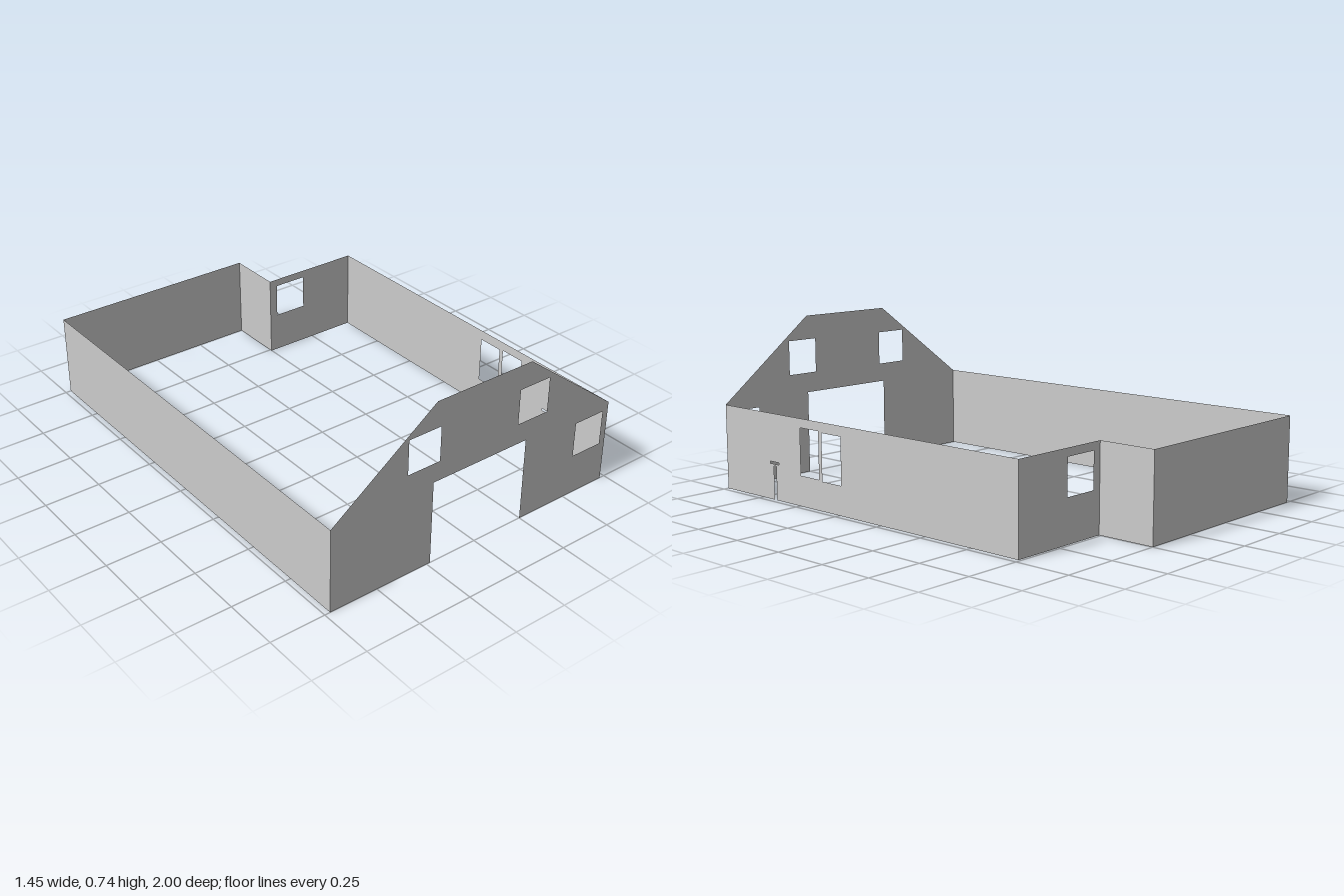
import * as THREE from 'three';

const W = 0.725, H = 0.38, BACK = -1, FRONT = 1;
const INNER_X = 0.248, INNER_Z = -0.74; // inner corner of the recessed back

const material = new THREE.MeshStandardMaterial({ color: 0xcccccc, flatShading: true, side: THREE.DoubleSide });

const toPoints = list => list.map(([u, v]) => new THREE.Vector2(u, v));
const rect = (u0, u1, v0, v1) => [[u0, v0], [u1, v0], [u1, v1], [u0, v1]];

// Flat wall from an outline, with rectangular openings cut through it
function wall(name, outline, openings = []) {
  const shape = new THREE.Shape(toPoints(outline));
  for (const o of openings) shape.holes.push(new THREE.Path(toPoints(rect(...o))));
  const mesh = new THREE.Mesh(new THREE.ShapeGeometry(shape), material);
  mesh.name = name;
  return mesh;
}

// Wall across the building: outline runs along x
function crossWall(name, z, outline, openings) {
  const mesh = wall(name, outline, openings);
  mesh.position.z = z;
  return mesh;
}

// Wall along the building: outline runs along z
function sideWall(name, x, outline, openings) {
  const mesh = wall(name, outline, openings);
  mesh.geometry.rotateY(-Math.PI / 2);
  mesh.position.x = x;
  return mesh;
}

export function createModel() {
  const group = new THREE.Group();
  group.name = 'houseWalls';

  // Front gable with a wide doorway and three windows
  group.add(crossWall('frontGable', FRONT, [
    [-W, 0], [-0.233, 0], [-0.233, H], [0.25, H], [0.25, 0], [W, 0],
    [W, H], [0.25, 0.74], [-0.23, 0.74], [-W, H],
  ], [
    [-0.363, -0.206, 0.467, 0.622],
    [0.2, 0.357, 0.472, 0.63],
    [0.538, 0.694, 0.187, 0.345],
  ]));

  // Left side wall: twin windows, a narrow slot at the ground and a slit above it
  group.add(sideWall('leftWall', W, [
    [INNER_Z, 0], [0.656, 0], [0.656, 0.15], [0.672, 0.15], [0.672, 0],
    [FRONT, 0], [FRONT, H], [INNER_Z, H],
  ], [
    [0.375, 0.492, 0.133, 0.34],
    [0.236, 0.354, 0.128, 0.335],
    [0.637, 0.696, 0.158, 0.168],
  ]));

  // Plain right side wall
  group.add(sideWall('rightWall', -W, rect(BACK, FRONT, 0, H)));

  // Stepped back: main wall, return, and recessed wall with a window
  group.add(crossWall('backWall', BACK, rect(-W, INNER_X, 0, H)));
  group.add(sideWall('backReturnWall', INNER_X, rect(BACK, INNER_Z, 0, H)));
  group.add(crossWall('recessedBackWall', INNER_Z, rect(INNER_X, W, 0, H),
    [[0.287, 0.445, 0.187, 0.345]]));

  return group;
}
